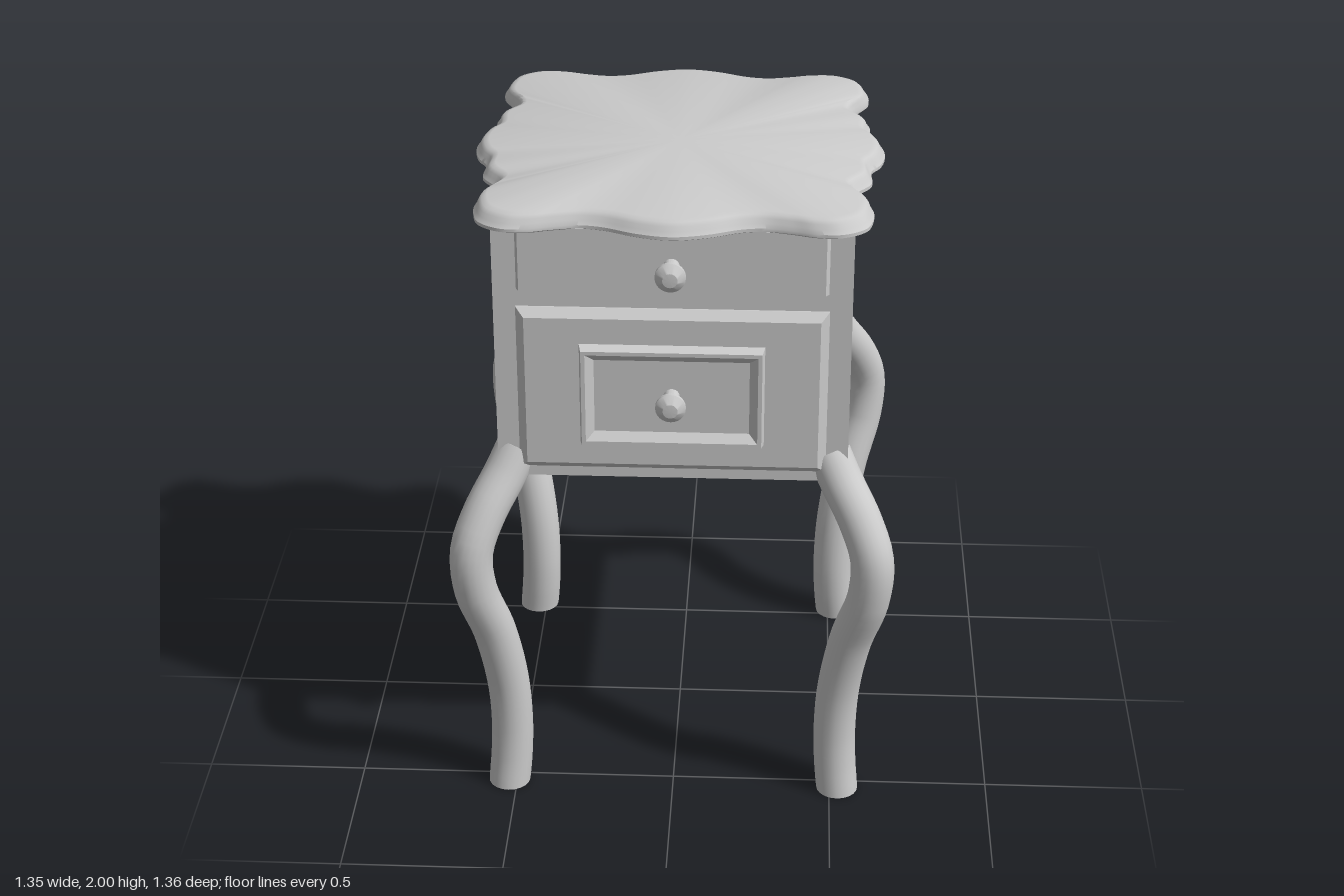
import * as THREE from 'three';
import { toCreasedNormals } from 'three/addons/utils/BufferGeometryUtils.js';

const material = new THREE.MeshStandardMaterial({ color: 0xcccccc });

function addMesh(parent, name, geometry) {
  const mesh = new THREE.Mesh(geometry, material);
  mesh.name = name;
  parent.add(mesh);
  return mesh;
}

// Skins a stack of equal-length closed rings, counter-clockwise around the direction of travel
function loft(rings, crease) {
  const n = rings[0].length;
  const positions = rings.flatMap(ring => ring.flatMap(p => [p.x, p.y, p.z]));
  const index = [];
  for (let r = 0; r < rings.length - 1; r++) {
    for (let i = 0; i < n; i++) {
      const a = r * n + i, b = r * n + (i + 1) % n;
      index.push(a, b, b + n, a, b + n, a + n);
    }
  }
  const geometry = new THREE.BufferGeometry();
  geometry.setAttribute('position', new THREE.Float32BufferAttribute(positions, 3));
  geometry.setIndex(index);
  return toCreasedNormals(geometry, crease);
}

// Moulded front panel; steps are [inset, z]
function panel(halfWidth, bottom, top, steps) {
  const rings = steps.map(([inset, z]) => {
    const w = halfWidth - inset, b = bottom + inset, t = top - inset;
    return [[-w, b], [w, b], [w, t], [-w, t]].map(([x, y]) => new THREE.Vector3(x, y, z));
  });
  const last = rings[rings.length - 1];
  const centre = new THREE.Vector3(0, (bottom + top) / 2, last[0].z);
  rings.push(last.map(() => centre));
  return loft(rings, 0.1);
}

// Scalloped table top: one quarter outline mirrored, then stacked as a moulded edge
function tableTop() {
  const quarter = [
    [0.62, 0], [0.605, 0.08], [0.577, 0.13], [0.576, 0.225], [0.527, 0.31],
    [0.576, 0.42], [0.576, 0.485], [0.555, 0.55], [0.49, 0.594], [0.42, 0.595],
    [0.35, 0.575], [0.27, 0.56], [0.2, 0.57], [0.1, 0.612], [0, 0.632],
  ];
  const half = [...quarter, ...quarter.slice(0, -1).reverse().map(([x, z]) => [-x, z])];
  const full = [...half, ...half.slice(1, -1).reverse().map(([x, z]) => [x, -z])];
  const points = full.map(([x, z]) => new THREE.Vector3(x, 0, -z));
  const curve = new THREE.CatmullRomCurve3(points, true, 'centripetal');
  const count = points.length * 5;
  const outline = Array.from({ length: count }, (_, i) => curve.getPoint(i / count));
  const profile = [
    [0, 1.945], [0.985, 1.945], [1, 1.95], [1, 1.96], [0.985, 1.972],
    [0.975, 1.985], [0.96, 1.995], [0.935, 2], [0, 2],
  ];
  return loft(profile.map(([s, y]) => outline.map(p => new THREE.Vector3(p.x * s, y, p.z * s))), 0.6);
}

// Curved leg running out along a diagonal
function addLeg(parent, name, sx, sz) {
  const leg = new THREE.Group();
  leg.name = name;
  const path = [
    [0.525, 0], [0.516, 0.1], [0.512, 0.22], [0.52, 0.38], [0.552, 0.58], [0.6, 0.76],
    [0.606, 0.9], [0.568, 1.01], [0.505, 1.12], [0.47, 1.19],
  ].map(([d, y]) => new THREE.Vector3(sx * d, y, sz * (d + 0.006)));
  const curve = new THREE.CatmullRomCurve3(path, false, 'centripetal');
  const tube = new THREE.TubeGeometry(curve, 36, 0.066, 20);
  // Level the foot on the floor
  const pos = tube.attributes.position;
  for (let i = 0; i <= 20; i++) pos.setY(i, 0);
  addMesh(leg, 'legShaft', tube);

  const sole = addMesh(leg, 'legSole', new THREE.CircleGeometry(0.066, 20));
  sole.rotation.x = Math.PI / 2;
  sole.position.copy(path[0]);

  const end = addMesh(leg, 'legTopCap', new THREE.CircleGeometry(0.066, 20));
  end.position.copy(path[path.length - 1]);
  end.quaternion.setFromUnitVectors(new THREE.Vector3(0, 0, 1), curve.getTangent(1));
  parent.add(leg);
}

export function createModel() {
  const model = new THREE.Group();
  model.name = 'nightstand';

  // Cabinet
  const cabinet = addMesh(model, 'cabinet', new THREE.BoxGeometry(1.05, 0.83, 1.05));
  cabinet.position.y = 1.535;
  addMesh(model, 'tableTop', tableTop());

  // Drawer and door fronts
  addMesh(model, 'drawerFront', panel(0.457, 1.737, 1.96, [[0, 0.52], [0.012, 0.558]]));
  addMesh(model, 'doorFront', panel(0.459, 1.155, 1.685, [[0, 0.52], [0, 0.53], [0.025, 0.555]]));
  addMesh(model, 'doorPanel', panel(0.274, 1.255, 1.58,
    [[0, 0.55], [0.008, 0.592], [0.02, 0.592], [0.045, 0.57]]));

  // Knobs, turned around z
  const knobProfile = [
    [0.024, -0.1], [0.024, -0.03], [0.045, -0.03], [0.045, -0.02], [0.022, 0], [0, 0.002],
  ].map(([r, y]) => new THREE.Vector2(r, y));
  const knobGeometry = toCreasedNormals(new THREE.LatheGeometry(knobProfile, 24), 0.5);
  for (const [name, y] of [['drawerKnob', 1.84], ['doorKnob', 1.42]]) {
    const knob = addMesh(model, name, knobGeometry);
    knob.rotation.x = Math.PI / 2;
    knob.position.set(0, y, 0.668);
  }

  // Legs
  addLeg(model, 'frontLeftLeg', 1, 1);
  addLeg(model, 'frontRightLeg', -1, 1);
  addLeg(model, 'backLeftLeg', 1, -1);
  addLeg(model, 'backRightLeg', -1, -1);

  return model;
}
